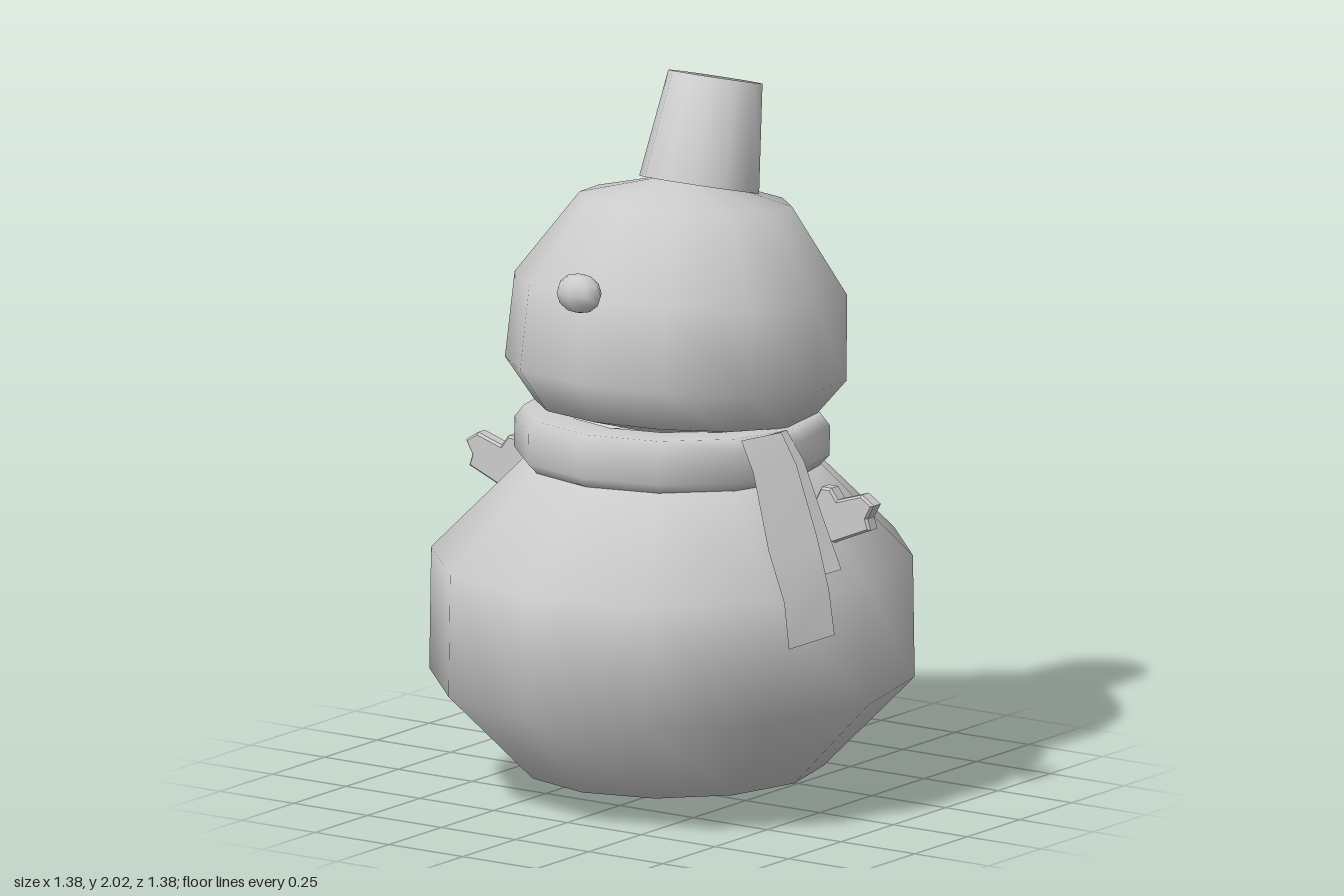
import * as THREE from 'three';

const grey = new THREE.MeshStandardMaterial({ color: 0xcccccc });
const cloth = new THREE.MeshStandardMaterial({ color: 0xcccccc, side: THREE.DoubleSide });

export function createModel() {
  const model = new THREE.Group();

  const add = (name, geometry, material = grey) => {
    const mesh = new THREE.Mesh(geometry, material);
    mesh.name = name;
    model.add(mesh);
    return mesh;
  };

  // Twelve-sided smooth turned part; profile is [radius, height], bottom to top
  const turned = (name, profile) =>
    add(name, new THREE.LatheGeometry(profile.map(([r, y]) => new THREE.Vector2(r, y)), 12));

  // Lower snowball
  const body = turned('body', [[0, 0], [0.43, 0.072], [0.69, 0.33], [0.685, 0.675], [0.42, 0.935], [0, 1.0]]);
  body.scale.x = 0.967;

  // Head, leaning slightly back
  const head = turned('head', [[0, -0.19], [0.385, -0.115], [0.475, 0], [0.462, 0.24], [0.295, 0.475], [0, 0.55]]);
  head.position.set(0, 1.19, -0.018);
  head.rotation.x = -0.1;

  // Bucket hat with a slightly sunken top
  const hat = turned('hat', [[0.168, -0.02], [0.132, 0.282], [0, 0.268]]);
  hat.position.set(0, 1.71, -0.135);
  hat.rotation.x = -0.26;

  // Nose
  const nose = add('nose', new THREE.SphereGeometry(1, 8, 6));
  nose.scale.set(0.073, 0.056, 0.049);
  nose.position.set(0, 1.493, 0.444);

  // Scarf ring
  const scarf = turned('scarfRing', [[0.3, -0.07], [0.41, -0.07], [0.438, -0.04], [0.438, 0.045], [0.412, 0.078], [0.3, 0.078]]);
  scarf.position.y = 1.0;
  scarf.rotation.x = -0.015;

  // Hanging scarf ends: each row is [front corner, back corner]
  const strip = (name, rows) => {
    const index = [];
    for (let i = 0; i < rows.length - 1; i++) {
      const a = i * 2;
      index.push(a, a + 2, a + 1, a + 1, a + 2, a + 3);
    }
    const g = new THREE.BufferGeometry();
    g.setAttribute('position', new THREE.Float32BufferAttribute(rows.flat(2), 3));
    g.setIndex(index);
    g.computeVertexNormals();
    add(name, g, cloth);
  };
  strip('scarfEndLong', [
    [[0.38, 1.08, 0.205], [0.42, 1.083, 0.07]],
    [[0.435, 1.0, 0.225], [0.475, 1.0, 0.075]],
    [[0.53, 0.8, 0.285], [0.575, 0.81, 0.115]],
    [[0.6, 0.67, 0.31], [0.635, 0.68, 0.145]],
    [[0.63, 0.545, 0.33], [0.668, 0.56, 0.165]],
  ]);
  strip('scarfEndShort', [
    [[0.4, 1.08, 0.12], [0.41, 1.08, 0.03]],
    [[0.45, 1.0, 0.125], [0.465, 1.0, 0.025]],
    [[0.53, 0.85, 0.135], [0.545, 0.85, 0.045]],
    [[0.605, 0.715, 0.145], [0.62, 0.72, 0.065]],
  ]);

  // Mitten hands, mirrored
  const outline = [[0.48, 0.86], [0.49, 0.8], [0.55, 0.778], [0.675, 0.83], [0.665, 0.86],
    [0.686, 0.898], [0.65, 0.921], [0.568, 0.895], [0.545, 0.926], [0.517, 0.926]];
  for (const side of [1, -1]) {
    const pts = outline.map(([x, y]) => new THREE.Vector2(side * x, y));
    const g = new THREE.ExtrudeGeometry(new THREE.Shape(pts), {
      depth: 0.032, bevelThickness: 0.007, bevelSize: 0.006, bevelOffset: -0.002, bevelSegments: 1,
    });
    g.translate(0, 0, -0.023);
    add(side > 0 ? 'leftMitten' : 'rightMitten', g);
  }

  return model;
}
